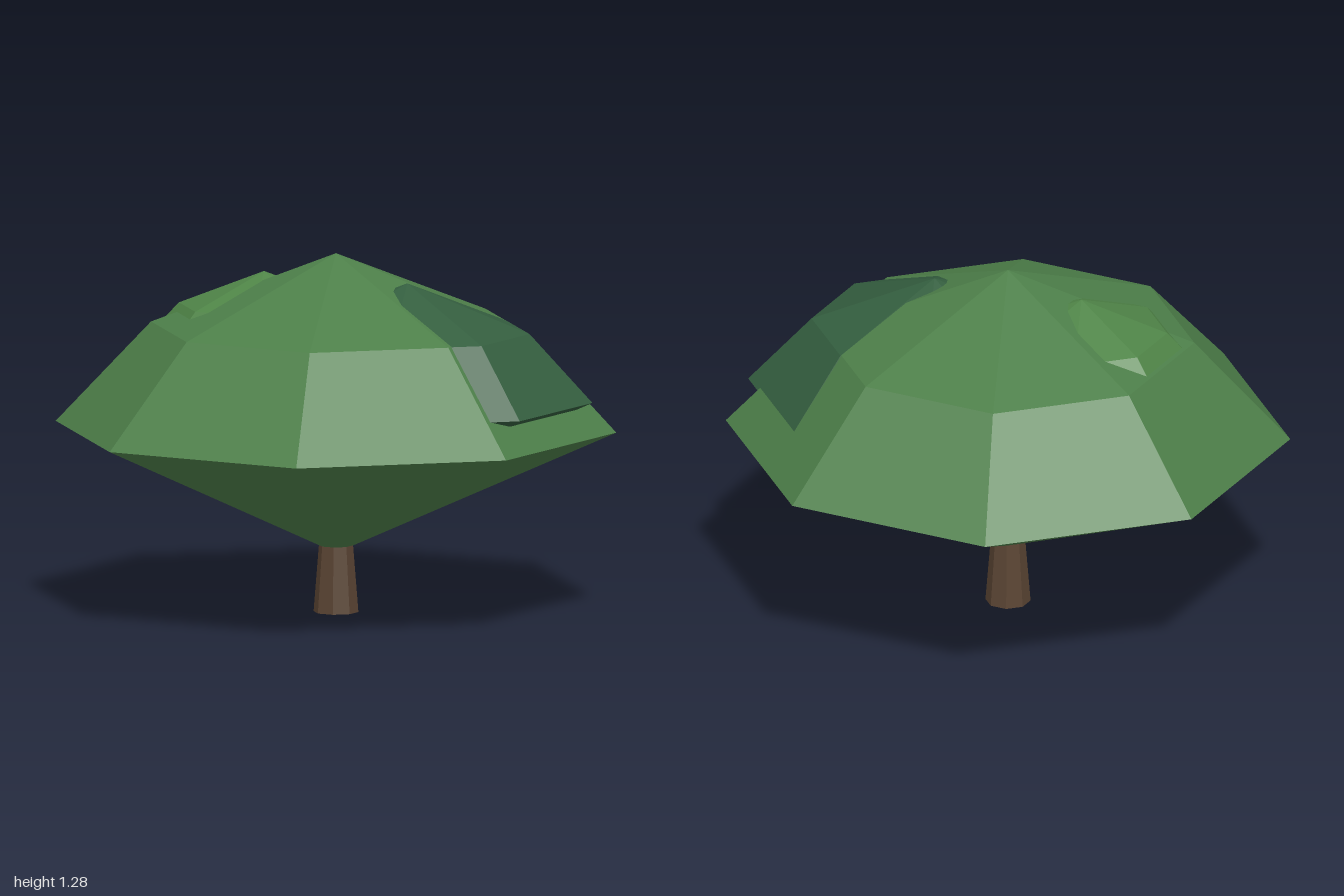
import * as THREE from 'three';

const paint = (name, color) => {
  const m = new THREE.MeshStandardMaterial({ color, flatShading: true });
  m.name = name;
  return m;
};

// Eight-sided faceted dome with a shallow cone underneath; rim at y = 0
const domeProfile = [[0, -0.45], [1, 0], [0.66, 0.362], [0, 0.62]]
  .map(([r, y]) => new THREE.Vector2(r, y));

function dome(name, material, radius, height, x, apexY, z) {
  const mesh = new THREE.Mesh(new THREE.LatheGeometry(domeProfile, 8), material);
  mesh.name = name;
  mesh.scale.set(radius, height, radius);
  mesh.position.set(x, apexY - 0.62 * height, z);
  return mesh;
}

export function createModel() {
  const tree = new THREE.Group();
  tree.name = 'tree';

  const leaf = paint('leaf green', 0x4d7f49);
  const darkLeaf = paint('dark leaf green', 0x345e3f);
  const lightLeaf = paint('fresh leaf green', 0x4f8447);
  const bark = paint('bark brown', 0x5a4433);

  // Trunk
  const trunk = new THREE.Mesh(new THREE.CylinderGeometry(0.06, 0.08, 0.25, 8), bark);
  trunk.name = 'trunk';
  trunk.position.y = 0.125;
  tree.add(trunk);

  // Main canopy, with two smaller leaf clumps breaking through its top
  tree.add(dome('canopy', leaf, 1, 1, 0, 1.28, 0));
  tree.add(dome('darkClump', darkLeaf, 0.66, 0.667, 0.26, 1.193, -0.12));
  tree.add(dome('lightClump', lightLeaf, 0.46, 0.46, -0.23, 1.202, 0.145));

  return tree;
}
